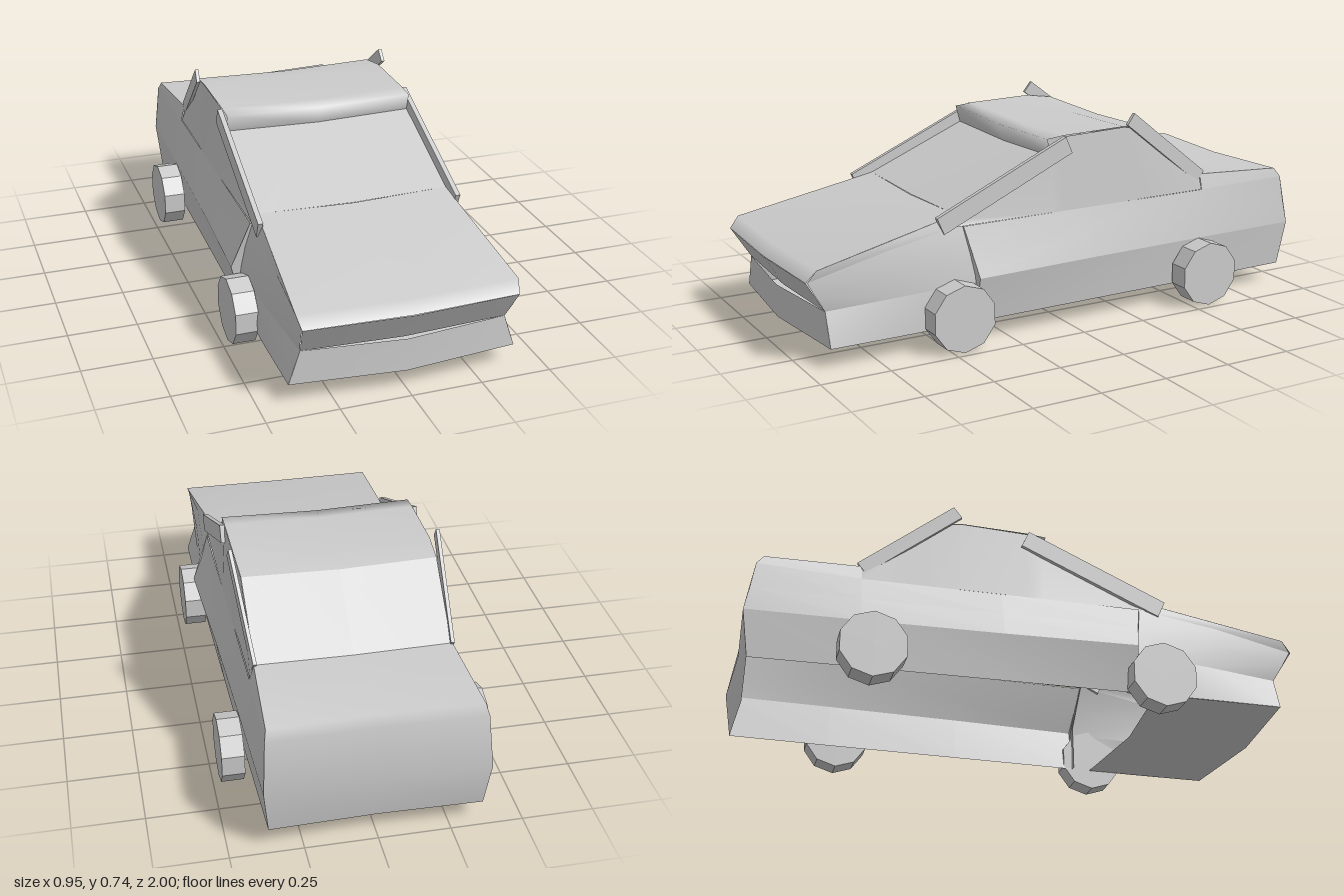
import * as THREE from 'three';

const material = new THREE.MeshStandardMaterial({ color: 0xcccccc, side: THREE.DoubleSide });

export function createModel() {
  const car = new THREE.Group();
  car.name = 'car';

  const add = (name, geometry) => {
    const mesh = new THREE.Mesh(geometry, material);
    mesh.name = name;
    car.add(mesh);
    return mesh;
  };

  // Skin stretched over rows of [x, y, z] points
  function sheet(name, rows) {
    const n = rows[0].length, index = [];
    for (let r = 0; r < rows.length - 1; r++) {
      for (let c = 0; c < n - 1; c++) {
        const a = r * n + c, b = a + n;
        index.push(a, b, a + 1, a + 1, b, b + 1);
      }
    }
    const geometry = new THREE.BufferGeometry();
    geometry.setAttribute('position', new THREE.Float32BufferAttribute(rows.flat(2), 3));
    geometry.setIndex(index);
    geometry.computeVertexNormals();
    return add(name, geometry);
  }

  // Full-width panel from a [z, y, halfWidth] profile; dip and bow shift its middle
  const panel = (name, profile, dip = 0, bow = 0) => sheet(name, profile.map(([z, y, w]) =>
    [[-w, y, z], [0, y - dip, z + bow], [w, y, z]]));

  // Straight rectangular bar between two points
  function bar(name, from, to, width, thick) {
    const a = new THREE.Vector3(...from), b = new THREE.Vector3(...to);
    const mesh = add(name, new THREE.BoxGeometry(width, thick, a.distanceTo(b)));
    mesh.position.copy(a).lerp(b, 0.5);
    mesh.lookAt(b);
  }

  // Panels across the car, front to back; the underside is open behind the front floor
  panel('frontBumper', [[0.92, 0.192, 0.36], [0.92, 0.13, 0.38], [0.92, 0.073, 0.40]], 0.003, 0.035);
  panel('nose', [[0.99, 0.305, 0.375], [0.92, 0.192, 0.36]], 0.008, 0.008);
  panel('hood', [[0.43, 0.455, 0.35], [0.955, 0.345, 0.385], [0.99, 0.305, 0.375]], 0.006, 0.008);
  panel('windshield', [[0.05, 0.614, 0.35], [0.43, 0.455, 0.35]], 0.009);
  panel('roof', [[0.05, 0.614, 0.35], [0.068, 0.677, 0.35], [0, 0.684, 0.35],
    [-0.25, 0.69, 0.35], [-0.36, 0.674, 0.345]], 0.009);
  panel('rearWindow', [[-0.36, 0.674, 0.345], [-0.6, 0.472, 0.34]], 0.009);
  panel('rearDeckAndTail', [[-0.6, 0.472, 0.345], [-0.94, 0.458, 0.362], [-0.965, 0.425, 0.37],
    [-0.997, 0.24, 0.382], [-0.972, 0.073, 0.365]], 0.006, 0.015);
  panel('frontFloor', [[0.45, 0.073, 0.397], [0.92, 0.073, 0.40]], 0.003, 0.035);

  for (const s of [-1, 1]) {
    const side = s > 0 ? 'left' : 'right';
    const mirrored = (name, rows) =>
      sheet(side + name, rows.map(row => row.map(([x, y, z]) => [x * s, y, z])));

    // Door skin, widest just behind the front wheel
    mirrored('BodySide', [
      [[0.37, 0.415, 0.41], [0.395, 0.33, 0.395], [0.434, 0.24, 0.38]],
      [[0.365, 0.415, -0.1], [0.385, 0.33, -0.1], [0.41, 0.24, -0.1]],
      [[0.36, 0.415, -0.6], [0.375, 0.33, -0.6], [0.393, 0.24, -0.6]],
      [[0.37, 0.425, -0.965], [0.375, 0.33, -0.98], [0.382, 0.24, -0.997]]]);
    mirrored('Sill', [
      [[0.434, 0.24, 0.38], [0.395, 0.073, 0.38]],
      [[0.41, 0.24, -0.1], [0.385, 0.073, -0.1]],
      [[0.393, 0.24, -0.6], [0.375, 0.073, -0.6]],
      [[0.382, 0.24, -0.997], [0.365, 0.073, -0.972]]]);
    mirrored('DoorFrontEdge', [
      [[0.37, 0.415, 0.41], [0.434, 0.24, 0.38], [0.395, 0.073, 0.38]],
      [[0.35, 0.415, 0.41], [0.38, 0.24, 0.38], [0.37, 0.073, 0.38]]]);
    mirrored('DeckSide', [
      [[0.345, 0.472, -0.6], [0.36, 0.415, -0.6]],
      [[0.362, 0.458, -0.94], [0.37, 0.425, -0.965]]]);

    // Front fender, hood edge and bumper side
    mirrored('FrontFender', [
      [[0.36, 0.42, 0.41], [0.385, 0.32, 0.39], [0.4, 0.22, 0.375]],
      [[0.372, 0.37, 0.7], [0.38, 0.29, 0.68], [0.385, 0.207, 0.66]],
      [[0.375, 0.305, 0.985], [0.37, 0.25, 0.955], [0.36, 0.192, 0.92]]]);
    mirrored('HoodEdge', [
      [[0.35, 0.455, 0.43], [0.36, 0.42, 0.41]],
      [[0.368, 0.398, 0.7], [0.372, 0.37, 0.7]],
      [[0.385, 0.345, 0.955], [0.375, 0.305, 0.985]]]);
    mirrored('BumperSide', [
      [[0.36, 0.192, 0.92], [0.4, 0.073, 0.92]],
      [[0.385, 0.207, 0.66], [0.4, 0.073, 0.66]],
      [[0.4, 0.22, 0.375], [0.395, 0.073, 0.375]]]);

    // Cabin side
    mirrored('SideWindow', [
      [[0.366, 0.415, 0.46], [0.352, 0.44, 0.46]],
      [[0.366, 0.415, 0.05], [0.35, 0.614, 0.05]],
      [[0.366, 0.415, 0], [0.35, 0.68, 0]],
      [[0.364, 0.415, -0.25], [0.35, 0.688, -0.25]],
      [[0.36, 0.415, -0.36], [0.345, 0.672, -0.36]],
      [[0.358, 0.415, -0.6], [0.34, 0.472, -0.6]]]);
    bar(side + 'FrontPillar', [s * 0.362, 0.425, 0.497], [s * 0.358, 0.652, -0.012], 0.018, 0.065);
    bar(side + 'RearPillarFin', [s * 0.37, 0.72, -0.265], [s * 0.343, 0.463, -0.6], 0.013, 0.05);

    // Ten-sided wheels
    for (const [end, z] of [['Front', 0.46], ['Rear', -0.565]]) {
      const wheel = new THREE.CylinderGeometry(0.12, 0.12, 0.08, 10).toNonIndexed();
      wheel.rotateZ(Math.PI / 2).rotateX(Math.PI / 2).computeVertexNormals();
      add(side + end + 'Wheel', wheel).position.set(s * 0.435, 0.12, z);
    }
  }
  return car;
}
